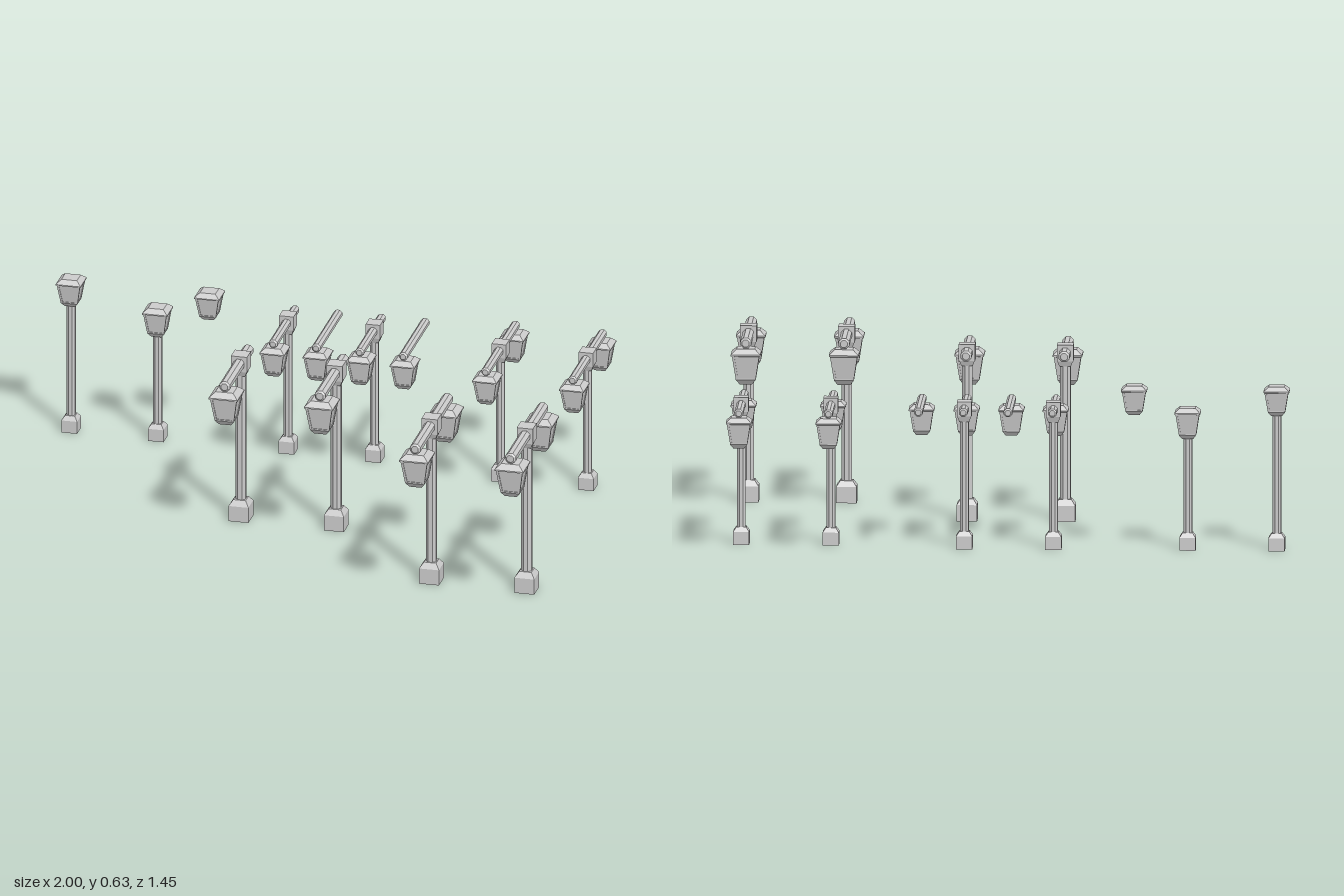
import * as THREE from 'three';

const mat = new THREE.MeshStandardMaterial({ color: 0xcccccc, flatShading: true });

function add(parent, name, geo, x = 0, y = 0, z = 0) {
  const m = new THREE.Mesh(geo, mat);
  m.name = name;
  m.position.set(x, y, z);
  parent.add(m);
  return m;
}

// Square stacked solid from [half width, height] pairs, listed bottom to top
function squareStack(profile) {
  const pts = profile.map(([h, y]) => new THREE.Vector2(h * Math.SQRT2, y));
  pts.unshift(new THREE.Vector2(0, profile[0][1]));
  pts.push(new THREE.Vector2(0, profile[profile.length - 1][1]));
  return new THREE.LatheGeometry(pts, 4, Math.PI / 4);
}

// Eight-sided bar standing on y = 0, width measured across flats
function octagonBar(width, length) {
  const r = width / 2 / Math.cos(Math.PI / 8);
  return new THREE.CylinderGeometry(r, r, length, 8).rotateY(Math.PI / 8).translate(0, length / 2, 0);
}

// Lantern whose roof top lies at y = 0
function makeLantern(s, sy = 1) {
  const g = new THREE.Group();
  g.name = 'lantern';
  add(g, 'lanternRoof', squareStack([[0.047, -0.025], [0.052, -0.023], [0.052, -0.018], [0.032, 0]]));
  add(g, 'lanternPanels', squareStack([[0.031, -0.11], [0.045, -0.023]]));
  add(g, 'lanternBottom', squareStack([[0.022, -0.127], [0.035, -0.109], [0.035, -0.104]]));
  // Leaning corner bars
  for (const sx of [-1, 1]) for (const sz of [-1, 1]) {
    const geo = new THREE.BoxGeometry(0.008, 0.084, 0.008);
    const p = geo.attributes.position;
    for (let i = 0; i < p.count; i++) {
      const c = p.getY(i) > 0 ? 0.044 : 0.031;
      p.setX(i, p.getX(i) + sx * c);
      p.setZ(i, p.getZ(i) + sz * c);
    }
    add(g, 'lanternCornerBar', geo, 0, -0.065, 0);
  }
  g.scale.set(s, s * sy, s);
  return g;
}

// Square foot and octagonal pole
function addPost(g, height, foot, width) {
  add(g, 'base', squareStack([[foot / 2, 0], [foot / 2, foot * 0.8], [foot * 0.31, foot * 1.08]]));
  add(g, 'pole', octagonBar(width, height));
}

// Arm along z with bevelled ends
function addArm(g, z0, z1, y, width) {
  const r = width / 2 / Math.cos(Math.PI / 8), b = 0.006, L = z1 - z0;
  const pts = [[0, 0], [r * 0.65, 0], [r, b], [r, L - b], [r * 0.65, L], [0, L]]
    .map(([a, c]) => new THREE.Vector2(a, c));
  const geo = new THREE.LatheGeometry(pts, 8, Math.PI / 8).rotateX(Math.PI / 2);
  add(g, 'arm', geo, 0, y, z0);
}

const BIG = { s: 1, armY: 0.599, armW: 0.038, block: 0.058, foot: 0.072, pole: 0.037, reach: 0.21, tip: 0.032, back: 0.112 };
const SMALL = { s: 0.86, armY: 0.498, armW: 0.03, block: 0.052, foot: 0.057, pole: 0.03, reach: 0.195, tip: 0.028, back: 0.107 };

// Street lamp with one or two hanging lanterns, with or without its post
function makeArmLamp(k, x, z, double, post = true) {
  const g = new THREE.Group();
  g.name = double ? 'doubleLamp' : post ? 'singleLamp' : 'lampArm';
  const end = k.reach + k.tip;
  addArm(g, double ? -end : -k.back, end, k.armY, k.armW);
  for (const side of double ? [1, -1] : [1]) {
    const l = makeLantern(k.s);
    l.position.set(0, k.armY - k.armW / 2 - 0.001, side * k.reach);
    g.add(l);
  }
  if (post) {
    addPost(g, k.armY, k.foot, k.pole);
    const h = k.block / 2;
    add(g, 'jointBlock', squareStack([[h * 0.68, -h - 0.02], [h * 0.95, -h], [h, -h], [h, h]]), 0, k.armY, 0);
  }
  g.position.set(x, 0, z);
  return g;
}

// Lantern standing on a post
function makePostLamp(x, z, top, sy) {
  const g = new THREE.Group();
  g.name = 'postLamp';
  addPost(g, top - 0.1, SMALL.foot, 0.031);
  const l = makeLantern(0.87, sy);
  l.position.y = top;
  g.add(l);
  g.position.set(x, 0, z);
  return g;
}

export function createModel() {
  const root = new THREE.Group();
  root.name = 'streetLamps';

  // Large lamps
  for (const x of [-0.185, 0.16]) root.add(makeArmLamp(BIG, x, 0.077, false));
  for (const x of [0.6, 0.945]) root.add(makeArmLamp(BIG, x, 0.461, true));

  // Small lamps, and arms without posts
  for (const x of [-0.17, 0.143]) root.add(makeArmLamp(SMALL, x, -0.55, false));
  for (const x of [-0.014, 0.301]) root.add(makeArmLamp(SMALL, x, -0.55, false, false));
  for (const x of [0.615, 0.93]) root.add(makeArmLamp(SMALL, x, -0.486, true));

  // Lanterns on posts and one loose lantern
  root.add(makePostLamp(-0.955, -0.548, 0.584, 0.94));
  root.add(makePostLamp(-0.642, -0.548, 0.506, 1));
  const loose = makeLantern(0.87, 0.94);
  loose.name = 'looseLantern';
  loose.position.set(-0.454, 0.584, -0.548);
  root.add(loose);
  return root;
}
